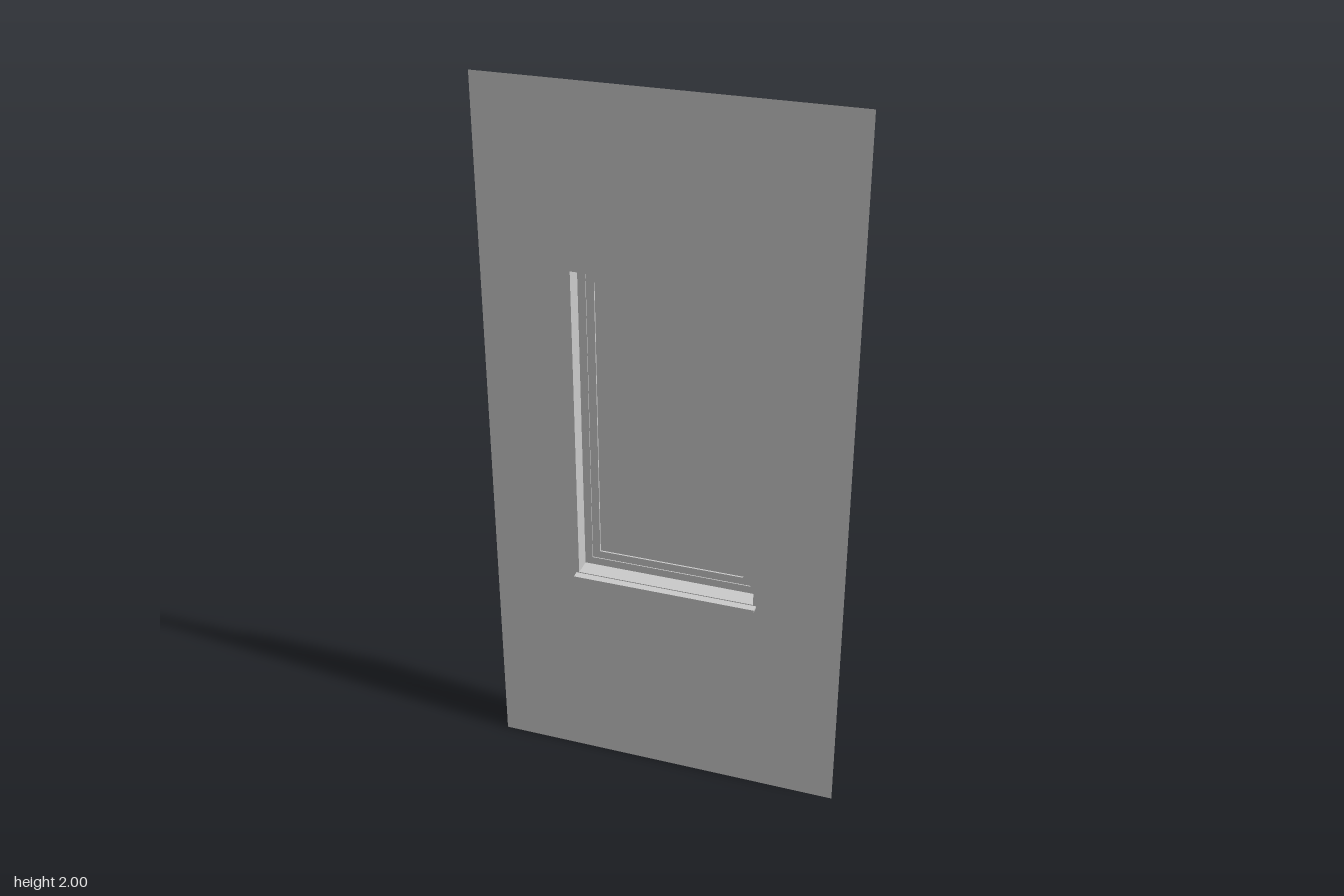
import * as THREE from 'three';

const mat = new THREE.MeshStandardMaterial({ color: 0xcccccc, side: THREE.DoubleSide });

// Rectangle outline as four corners, counter-clockwise
function corners([halfW, y0, y1, z]) {
  return [[-halfW, y0, z], [halfW, y0, z], [halfW, y1, z], [-halfW, y1, z]];
}

// Flat-shaded strip of four quads joining two rectangles
function band(outer, inner) {
  const a = corners(outer), b = corners(inner), pos = [];
  for (let i = 0; i < 4; i++) {
    const j = (i + 1) % 4;
    for (const p of [a[i], a[j], b[j], a[i], b[j], b[i]]) pos.push(...p);
  }
  const g = new THREE.BufferGeometry();
  g.setAttribute('position', new THREE.Float32BufferAttribute(pos, 3));
  g.computeVertexNormals();
  return g;
}

export function createModel() {
  const group = new THREE.Group();
  const add = (name, geometry) => {
    const mesh = new THREE.Mesh(geometry, mat);
    mesh.name = name;
    group.add(mesh);
    return mesh;
  };

  const zWall = 0.018, zBack = -0.031, zMid = -0.034, zGlass = -0.039;
  const opening = [0.252, 0.609, 1.51];
  const step1 = [0.23, 0.633, 1.487];
  const step2 = [0.208, 0.655, 1.465];

  // Thin wall panel with the window opening
  add('wall', band([0.5, 0, 2, zWall], [...opening, zWall]));

  // Reveal and the two frames, each stepping further back
  add('reveal', band([...opening, zWall], [...opening, zBack]));
  add('outerFrame', band([...opening, zBack], [...step1, zBack]));
  add('outerFrameStep', band([...step1, zBack], [...step1, zMid]));
  add('innerFrame', band([...step1, zMid], [...step2, zMid]));
  add('innerFrameStep', band([...step2, zMid], [...step2, zGlass]));

  // Glass pane
  const [w, y0, y1] = step2;
  add('glass', new THREE.PlaneGeometry(2 * w, y1 - y0)).position.set(0, (y0 + y1) / 2, zGlass);

  // Sill with a gently sloping top and a thin nose
  const profile = new THREE.Shape([
    [zBack, 0.6], [0.038, 0.6], [0.038, 0.605], [zBack, 0.611],
  ].map(([z, y]) => new THREE.Vector2(-z, y)));
  const sill = new THREE.ExtrudeGeometry(profile, { depth: 0.52, bevelEnabled: false });
  sill.rotateY(Math.PI / 2).translate(-0.26, 0, 0);
  add('sill', sill);

  return group;
}
